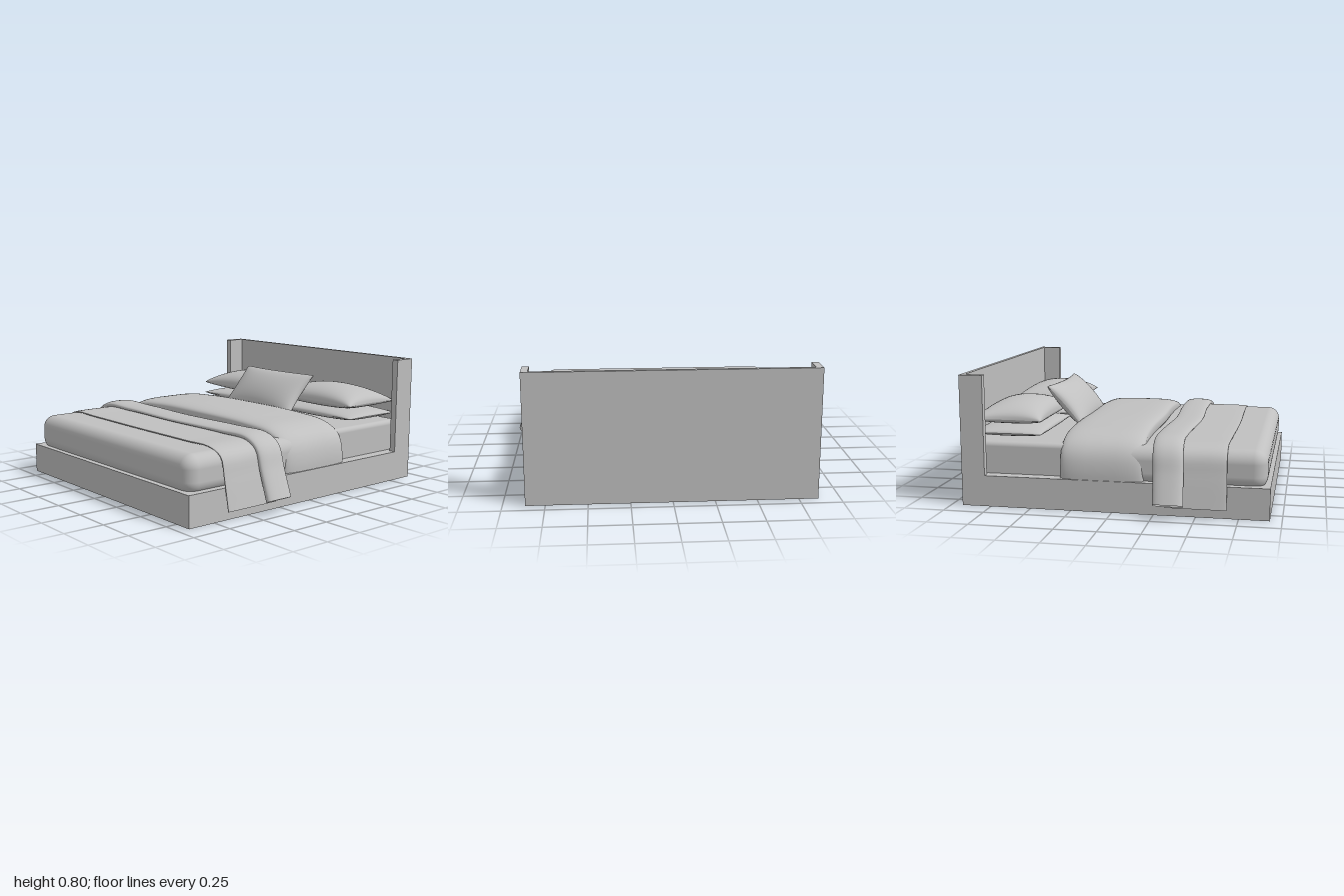
import * as THREE from 'three';
import { mergeGeometries } from 'three/addons/utils/BufferGeometryUtils.js';
import { RoundedBoxGeometry } from 'three/addons/geometries/RoundedBoxGeometry.js';

const grey = new THREE.MeshStandardMaterial({ color: 0xc0c0c0, side: THREE.DoubleSide });
grey.name = 'soft grey';

function part(group, name, geometry, x = 0, y = 0, z = 0) {
  const mesh = new THREE.Mesh(geometry, grey);
  mesh.name = name;
  mesh.position.set(x, y, z);
  group.add(mesh);
  return mesh;
}

// Box given by its limits, with an optional rounding radius
function block(group, name, [x0, x1], [y0, y1], [z0, z1], radius = 0) {
  const size = [x1 - x0, y1 - y0, z1 - z0];
  const geometry = radius ? new RoundedBoxGeometry(...size, 6, radius) : new THREE.BoxGeometry(...size);
  return part(group, name, geometry, (x0 + x1) / 2, (y0 + y1) / 2, (z0 + z1) / 2);
}

// Cloth hung across the bed: a flattened loop swept along a mirrored [x, y] path.
// thick and shift are functions of the distance from the middle, 0 to 1.
function drape(half, z0, z1, thick, shift, power) {
  const mirrored = half.slice(1).reverse().map(([x, y]) => [-x, y]);
  const curve = new THREE.CatmullRomCurve3(
    [...mirrored, ...half].map(([x, y]) => new THREE.Vector3(x, y, 0)), false, 'centripetal');
  const along = 80, around = 40, positions = [], index = [];
  const soft = (v) => Math.sign(v) * Math.pow(Math.abs(v), power);
  for (let i = 0; i <= along; i++) {
    const p = curve.getPointAt(i / along), t = curve.getTangentAt(i / along);
    const d = Math.abs((2 * i) / along - 1);
    for (let j = 0; j < around; j++) {
      const a = (j / around) * Math.PI * 2;
      const offset = thick(d) * soft(Math.sin(a));
      const z = (z0 + z1) / 2 + ((z1 - z0) / 2) * soft(Math.cos(a)) + shift(d);
      positions.push(p.x - t.y * offset, p.y + t.x * offset, z);
      if (i < along) {
        const k = i * around, n = (j + 1) % around;
        const a0 = k + j, a1 = k + n, b0 = a0 + around, b1 = a1 + around;
        index.push(a0, b0, a1, b0, b1, a1);
      }
    }
  }
  const geometry = new THREE.BufferGeometry();
  geometry.setAttribute('position', new THREE.Float32BufferAttribute(positions, 3));
  geometry.setIndex(index);
  geometry.computeVertexNormals();
  return geometry;
}

// Pillow lying flat: two puffed faces with pinched corners and a sharp seam
function pillow(width, depth, above, below, pinch) {
  const face = (height) => {
    const g = new THREE.PlaneGeometry(2, 2, 28, 28).rotateX(-Math.PI / 2);
    const p = g.attributes.position;
    for (let i = 0; i < p.count; i++) {
      const u = Math.sin((p.getX(i) * Math.PI) / 2), v = Math.sin((p.getZ(i) * Math.PI) / 2);
      const puff = Math.pow(Math.max(0, (1 - u * u) * (1 - v * v)), 0.42);
      p.setXYZ(i,
        u * (width / 2 - pinch * (1 - v * v)),
        height * puff,
        v * (depth / 2 - pinch * 0.6 * (1 - u * u)));
    }
    g.computeVertexNormals();
    return g;
  };
  return mergeGeometries([face(above), face(below).rotateX(Math.PI)]);
}

export function createModel() {
  const bed = new THREE.Group();
  bed.name = 'bed';

  // Frame: plinth, headboard and its side wings
  block(bed, 'base', [-0.867, 0.867], [0, 0.19], [-0.93, 0.93]);
  block(bed, 'headboard', [-0.867, 0.867], [0.19, 0.8], [-0.93, -0.905]);
  block(bed, 'leftWing', [0.825, 0.867], [0.19, 0.8], [-0.905, -0.785]);
  block(bed, 'rightWing', [-0.867, -0.825], [0.19, 0.8], [-0.905, -0.785]);

  // Mattress and the blanket wrapped over its foot end
  block(bed, 'mattress', [-0.79, 0.79], [0.16, 0.388], [-0.9, 0.8], 0.03);
  block(bed, 'blanket', [-0.835, 0.835], [0.16, 0.395], [0.02, 0.91], 0.08);

  // Puffy folded duvet across the middle
  part(bed, 'duvet', drape(
    [[0, 0.422], [0.45, 0.412], [0.68, 0.39], [0.775, 0.34], [0.803, 0.26], [0.805, 0.14]],
    -0.33, 0.18, () => 0.055, (d) => 0.006 * Math.cos(d * 7), 0.55));

  // Throw blanket with its folded-back layer
  part(bed, 'throw', drape(
    [[0, 0.405], [0.5, 0.403], [0.75, 0.4], [0.835, 0.36], [0.868, 0.25], [0.91, 0.06]],
    0.32, 0.68, () => 0.008, (d) => 0.005 * Math.cos(d * 6), 0.5));
  part(bed, 'throwFold', drape(
    [[0, 0.428], [0.5, 0.425], [0.75, 0.42], [0.845, 0.37], [0.895, 0.25], [0.965, 0.085]],
    0.245, 0.425, (d) => 0.018 + 0.016 * d * d, (d) => 0.01 * Math.cos(d * 7) - 0.012 * d + 0.02 * d ** 6, 0.8));

  // Two stacks of sleeping pillows
  for (const [side, x] of [['left', 0.395], ['right', -0.385]]) {
    part(bed, side + 'LowerPillow', pillow(0.72, 0.43, 0.045, 0.04, 0.008), x, 0.428, -0.68);
    part(bed, side + 'UpperPillow', pillow(0.71, 0.43, 0.105, 0.05, 0.03), x, 0.508, -0.68);
  }

  // Small cushion leaning back on the pillows
  const cushion = part(bed, 'cushion', pillow(0.67, 0.35, 0.08, 0.07, 0.025), 0.01, 0.535, -0.425);
  cushion.rotation.x = 0.84;

  return bed;
}
